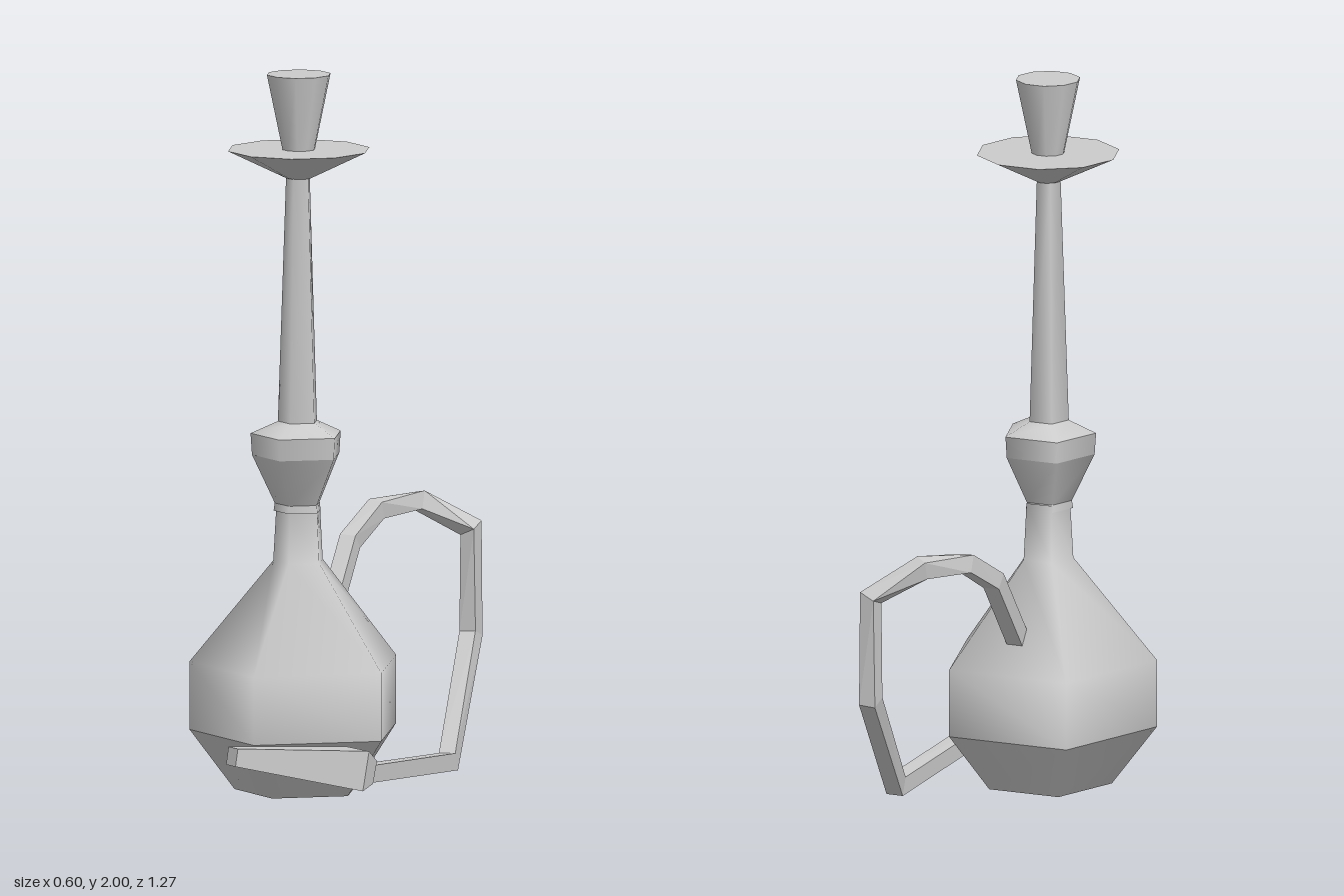
import * as THREE from 'three';

const material = new THREE.MeshStandardMaterial({ color: 0xcccccc });

function add(parent, name, geometry) {
  const mesh = new THREE.Mesh(geometry, material);
  mesh.name = name;
  parent.add(mesh);
  return mesh;
}

// Upright band between two heights, with smooth sides
function band(y0, r0, y1, r1, sides, open = false, start = 0) {
  return new THREE.CylinderGeometry(r1, r0, y1 - y0, sides, 1, open, start)
    .translate(0, (y0 + y1) / 2, 0);
}

// Square section swept along straight pieces, mitred at the bends
function squareSweep(path, halfWidths, ref) {
  const pts = path.map((p) => new THREE.Vector3(...p));
  const verts = [], index = [];
  const last = pts.length - 1;
  pts.forEach((p, i) => {
    const before = pts[i].clone().sub(pts[Math.max(i - 1, 0)]).normalize();
    const after = pts[Math.min(i + 1, last)].clone().sub(p).normalize();
    const t = before.clone().add(after).normalize();
    const miter = i > 0 && i < last ? 1 / Math.max(t.dot(after), 0.6) : 1;
    const n = t.clone().cross(ref).normalize();
    const s = n.clone().cross(t);
    for (const [a, b] of [[1, 1], [-1, 1], [-1, -1], [1, -1]]) {
      const v = p.clone()
        .addScaledVector(s, a * halfWidths[i])
        .addScaledVector(n, b * halfWidths[i] * miter);
      verts.push(v.x, v.y, v.z);
    }
    if (i === last) return;
    for (let k = 0; k < 4; k++) {
      const a = i * 4 + k, b = i * 4 + (k + 1) % 4;
      index.push(a, b, b + 4, a, b + 4, a + 4);
    }
  });
  const e = last * 4;
  index.push(0, 2, 1, 0, 3, 2, e, e + 1, e + 2, e, e + 2, e + 3);
  const indexed = new THREE.BufferGeometry();
  indexed.setAttribute('position', new THREE.Float32BufferAttribute(verts, 3));
  indexed.setIndex(index);
  const flat = indexed.toNonIndexed();
  flat.computeVertexNormals();
  return flat;
}

export function createModel() {
  const model = new THREE.Group();
  model.name = 'waterPipe';

  // Everything on the upright axis
  const column = new THREE.Group();
  column.name = 'column';
  column.position.set(-0.012, 0, 0.092);
  model.add(column);

  // Five-sided bowl with its neck
  const profile = [[0.305, 0.165], [0.305, 0.355], [0.073, 0.64], [0.064, 0.8]]
    .map(([r, y]) => new THREE.Vector2(r, y));
  const bowl = add(column, 'bowl', new THREE.LatheGeometry(profile, 5));
  bowl.scale.z = 1.03;
  bowl.position.z = -0.006;
  const base = add(column, 'bowlBase', band(0, 0.18, 0.165, 0.305, 5));
  base.scale.z = 1.03;
  base.position.z = -0.006;

  // Collar
  const collar = new THREE.Group();
  collar.name = 'collar';
  column.add(collar);
  add(collar, 'collarRing', band(0.78, 0.07, 0.805, 0.066, 5));
  add(collar, 'collarFlare', band(0.8, 0.066, 0.935, 0.13, 5, true));
  add(collar, 'collarRim', band(0.935, 0.13, 0.995, 0.134, 5, true));
  add(collar, 'collarTop', band(0.995, 0.134, 1.03, 0.058, 5, true));

  // Stem, tray and cup
  add(column, 'stem', band(1.03, 0.058, 1.72, 0.035, 5));
  add(column, 'tray', band(1.71, 0.035, 1.79, 0.2, 10, false, Math.PI / 10));
  add(column, 'cup', band(1.79, 0.046, 2, 0.09, 10, false, Math.PI / 10));

  // Hose looping behind and forward along the side
  const hosePath = [
    [-0.005, 0.38, -0.04], [-0.015, 0.65, -0.265], [0.01, 0.725, -0.39],
    [0.08, 0.735, -0.525], [0.2, 0.655, -0.605], [0.2, 0.36, -0.605],
    [0.267, 0.045, -0.3], [0.264, 0.085, 0.27],
  ];
  add(model, 'hose', squareSweep(hosePath, hosePath.map(() => 0.024), new THREE.Vector3(1, 0, 0)));

  // Tapered mouthpiece
  const mouthPath = [[0.268, 0.09, 0.25], [0.245, 0.1, 0.29], [0.018, 0.163, 0.615]];
  add(model, 'mouthpiece', squareSweep(mouthPath, [0.032, 0.056, 0.025], new THREE.Vector3(0, 1, 0)));

  return model;
}
